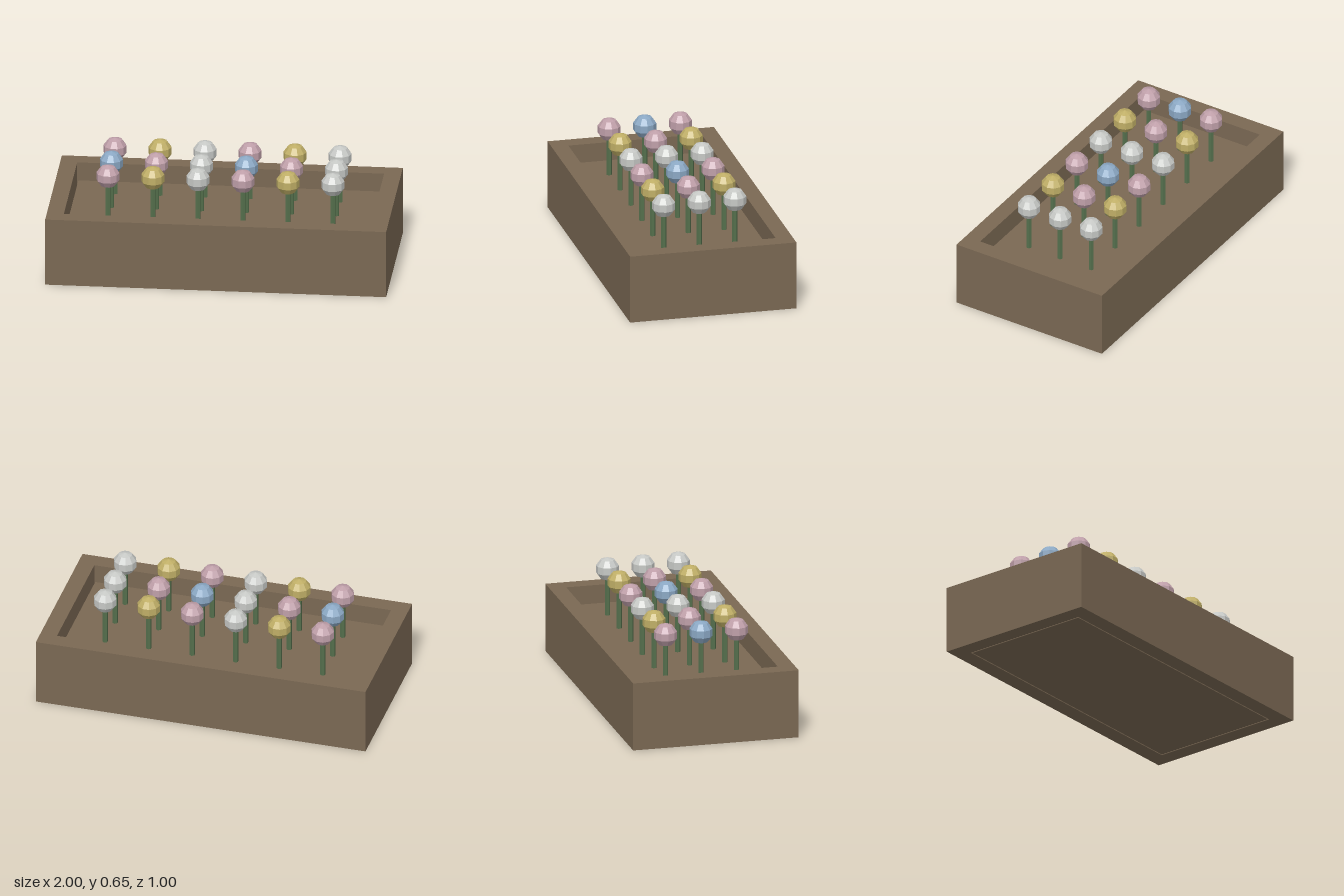
import * as THREE from 'three';

const mat = (name, color) => {
  const m = new THREE.MeshStandardMaterial({ color });
  m.name = name;
  return m;
};

// Give every face its own normals for a low-poly look
const faceted = (geometry) => {
  const g = geometry.toNonIndexed();
  g.computeVertexNormals();
  return g;
};

export function createModel() {
  const group = new THREE.Group();
  group.name = 'flowerBed';

  const wood = mat('brown', 0x7a6853);
  const stemGreen = mat('stemGreen', 0x55704d);
  const petals = {
    p: mat('pink', 0xbf9fa9),
    y: mat('yellow', 0xbfae66),
    w: mat('white', 0xc6c8c5),
    b: mat('blue', 0x8ba8c4),
  };

  const add = (parent, name, geometry, material, x, y, z) => {
    const mesh = new THREE.Mesh(geometry, material);
    mesh.name = name;
    mesh.position.set(x, y, z);
    parent.add(mesh);
  };

  // Planter walls: long boards front and back, short boards between them
  const H = 0.41, T = 0.1;
  const longBoard = new THREE.BoxGeometry(2, H, T);
  const shortBoard = new THREE.BoxGeometry(T, H, 0.8);
  add(group, 'frontWall', longBoard, wood, 0, H / 2, 0.45);
  add(group, 'backWall', longBoard, wood, 0, H / 2, -0.45);
  add(group, 'leftWall', shortBoard, wood, 0.95, H / 2, 0);
  add(group, 'rightWall', shortBoard, wood, -0.95, H / 2, 0);

  // Soil block with a narrow gap around it
  const soilTop = 0.3;
  add(group, 'soil', new THREE.BoxGeometry(1.785, soilTop, 0.785), wood, 0, soilTop / 2, 0);

  // Flowers: three rows of six, listed back to front
  const headY = 0.582;
  const stemGeo = faceted(new THREE.CylinderGeometry(0.016, 0.016, headY - soilTop, 6));
  const headGeo = faceted(new THREE.SphereGeometry(0.071, 10, 5));
  ['pywpyw', 'bpwbpw', 'pywpyw'].forEach((row, r) => {
    [...row].forEach((key, c) => {
      const flower = new THREE.Group();
      flower.name = 'flower';
      flower.position.set((c - 2.5) * 0.264, 0, (r - 1) * 0.214);
      add(flower, 'stem', stemGeo, stemGreen, 0, (headY + soilTop) / 2, 0);
      add(flower, 'bloom', headGeo, petals[key], 0, headY, 0);
      group.add(flower);
    });
  });

  return group;
}
